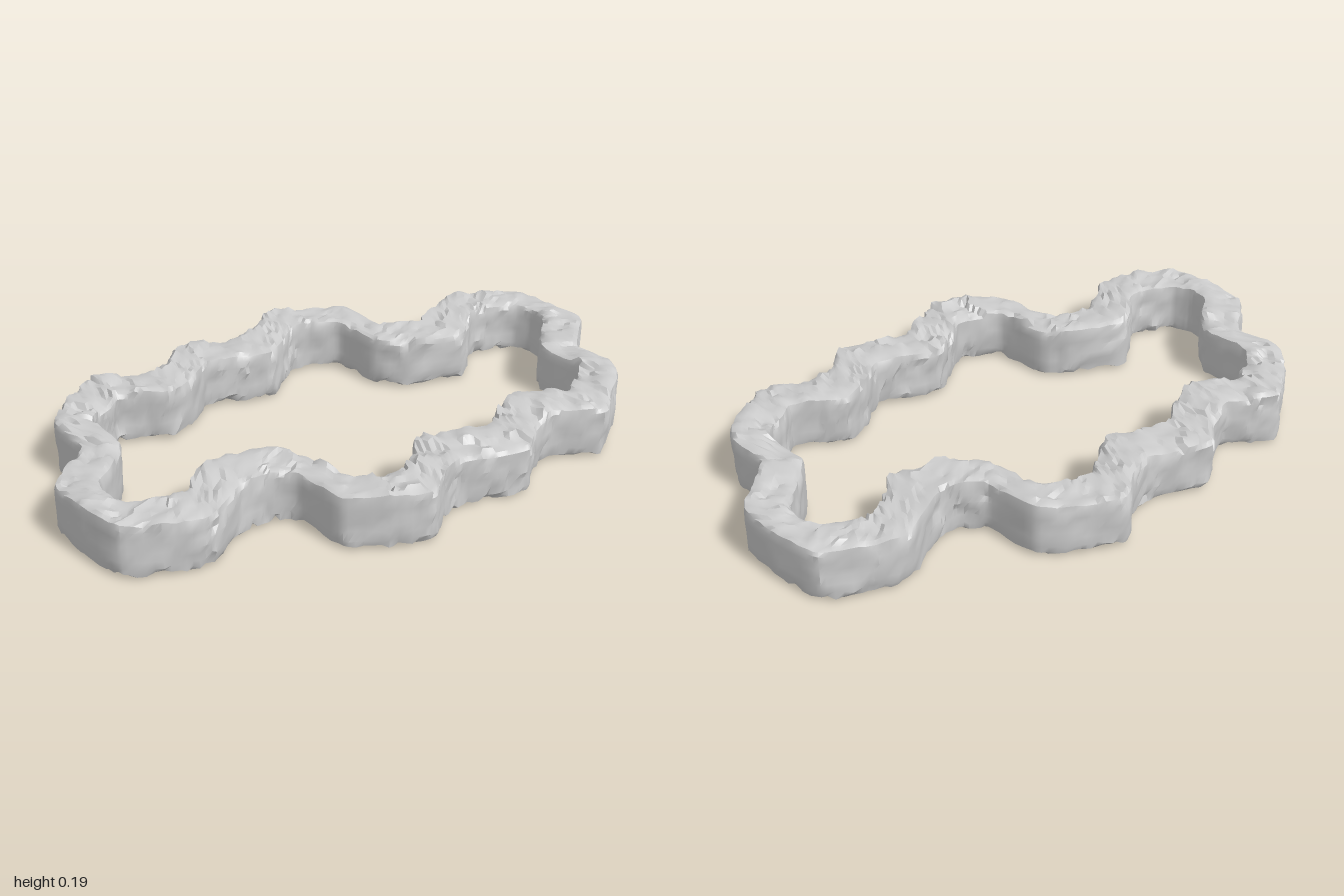
import * as THREE from 'three';
import { toCreasedNormals } from 'three/addons/utils/BufferGeometryUtils.js';

// Half of the ring: outer x, outer z, inner x, inner z. The other half is its half-turn.
const HALF = [
  [0, -1, 0, -0.9], [0.15, -0.99, 0.06, -0.88], [0.22, -0.91, 0.1, -0.81],
  [0.29, -0.81, 0.2, -0.71], [0.44, -0.8, 0.36, -0.7], [0.53, -0.73, 0.4, -0.66],
  [0.58, -0.64, 0.42, -0.6], [0.635, -0.55, 0.45, -0.55], [0.59, -0.47, 0.4, -0.47],
  [0.54, -0.4, 0.35, -0.4], [0.57, -0.29, 0.39, -0.29], [0.63, -0.2, 0.44, -0.2],
  [0.6, -0.1, 0.4, -0.1], [0.55, 0, 0.35, 0], [0.57, 0.1, 0.4, 0.1],
  [0.63, 0.2, 0.45, 0.18], [0.57, 0.31, 0.43, 0.25], [0.47, 0.42, 0.37, 0.32],
  [0.29, 0.43, 0.2, 0.33], [0.23, 0.5, 0.11, 0.39], [0.23, 0.58, 0.02, 0.58],
  [0.3, 0.75, 0.12, 0.72], [0.26, 0.86, 0.11, 0.79], [0.17, 0.98, 0.06, 0.88],
];
const STEPS = 330, SIDE = 7, RING = SIDE * 4;

// Seeded value from 0 to 1 for a grid cell
function hash(x, y, z) {
  const s = Math.sin(x * 127.1 + y * 311.7 + z * 74.7) * 43758.5453;
  return s - Math.floor(s);
}

// Chipped stone: each point takes the tilted plane of its nearest seed
function chips(x, y, z, size) {
  const p = [x / size, y / size, z / size], c = p.map(Math.floor);
  let best = 9, value = 0;
  for (let i = -1; i < 2; i++) for (let j = -1; j < 2; j++) for (let k = -1; k < 2; k++) {
    const a = c[0] + i, b = c[1] + j, d = c[2] + k;
    const dx = p[0] - a - hash(a, b, d), dy = p[1] - b - hash(b, d, a + 7), dz = p[2] - d - hash(d, a + 3, b);
    const dist = dx * dx + dy * dy + dz * dz;
    if (dist < best) {
      best = dist;
      value = hash(a + 11, b, d) + 0.8 * (dx * (hash(a, b + 5, d) - 0.5)
        + dy * (hash(a, b, d + 9) - 0.5) + dz * (hash(a + 2, b + 4, d) - 0.5));
    }
  }
  return Math.min(1, Math.max(0, value));
}

// Rounded-square section, counter-clockwise from the lower outer corner
function section() {
  const pts = [];
  for (let s = 0; s < 4; s++) for (let k = 0; k < SIDE; k++) {
    const t = -1 + (2 * k) / SIDE;
    const [a, b] = [[1, t], [-t, 1], [-1, -t], [t, -1]][s];
    const n = Math.pow(Math.abs(a) ** 9 + Math.abs(b) ** 9, 1 / 9);
    pts.push([a / n, b / n]);
  }
  return pts;
}

function rockRing() {
  const stations = [...HALF, ...HALF.map((s) => s.map((v) => -v))];
  const edge = (o) => new THREE.CatmullRomCurve3(
    stations.map((s) => new THREE.Vector3(s[o], 0, s[o + 1])), true, 'catmullrom', 0.3);
  const outer = edge(0), inner = edge(2), profile = section();
  const pos = [], index = [];
  for (let i = 0; i < STEPS; i++) {
    const o = outer.getPoint(i / STEPS), n = inner.getPoint(i / STEPS);
    const mid = o.clone().add(n).multiplyScalar(0.5);
    const half = o.clone().sub(n).multiplyScalar(0.5);
    const tan = outer.getTangent(i / STEPS);
    // walls that run front to back are rougher than those that run across
    const rough = 0.25 + 0.75 * Math.abs(tan.z);
    for (const [a, b] of profile) {
      const x = mid.x + half.x * a, z = mid.z + half.z * a, y = 0.1 + 0.1 * b;
      const big = chips(x, y, z, 0.09), small = chips(x + 5, y, z, 0.045);
      const cut = (0.65 * big + 0.35 * small) * rough;
      const k = 1 - 0.24 * cut;
      const low = b > 0 ? 0.005 + 0.028 * (0.6 * big + 0.4 * small) : 0.016 * small;
      pos.push(mid.x + half.x * a * k, y - b * low, mid.z + half.z * a * k);
    }
    for (let j = 0; j < RING; j++) {
      const i2 = (i + 1) % STEPS, j2 = (j + 1) % RING;
      const p = i * RING + j, q = i * RING + j2, r = i2 * RING + j, s = i2 * RING + j2;
      index.push(p, q, r, q, s, r);
    }
  }
  const g = new THREE.BufferGeometry();
  g.setAttribute('position', new THREE.Float32BufferAttribute(pos, 3));
  g.setIndex(index);
  return toCreasedNormals(g, 0.6);
}

export function createModel() {
  const group = new THREE.Group();
  group.name = 'rockBorder';
  const wall = new THREE.Mesh(rockRing(), new THREE.MeshStandardMaterial({ color: 0xcccccc, roughness: 0.9 }));
  wall.name = 'rockWall';
  group.add(wall);
  return group;
}
